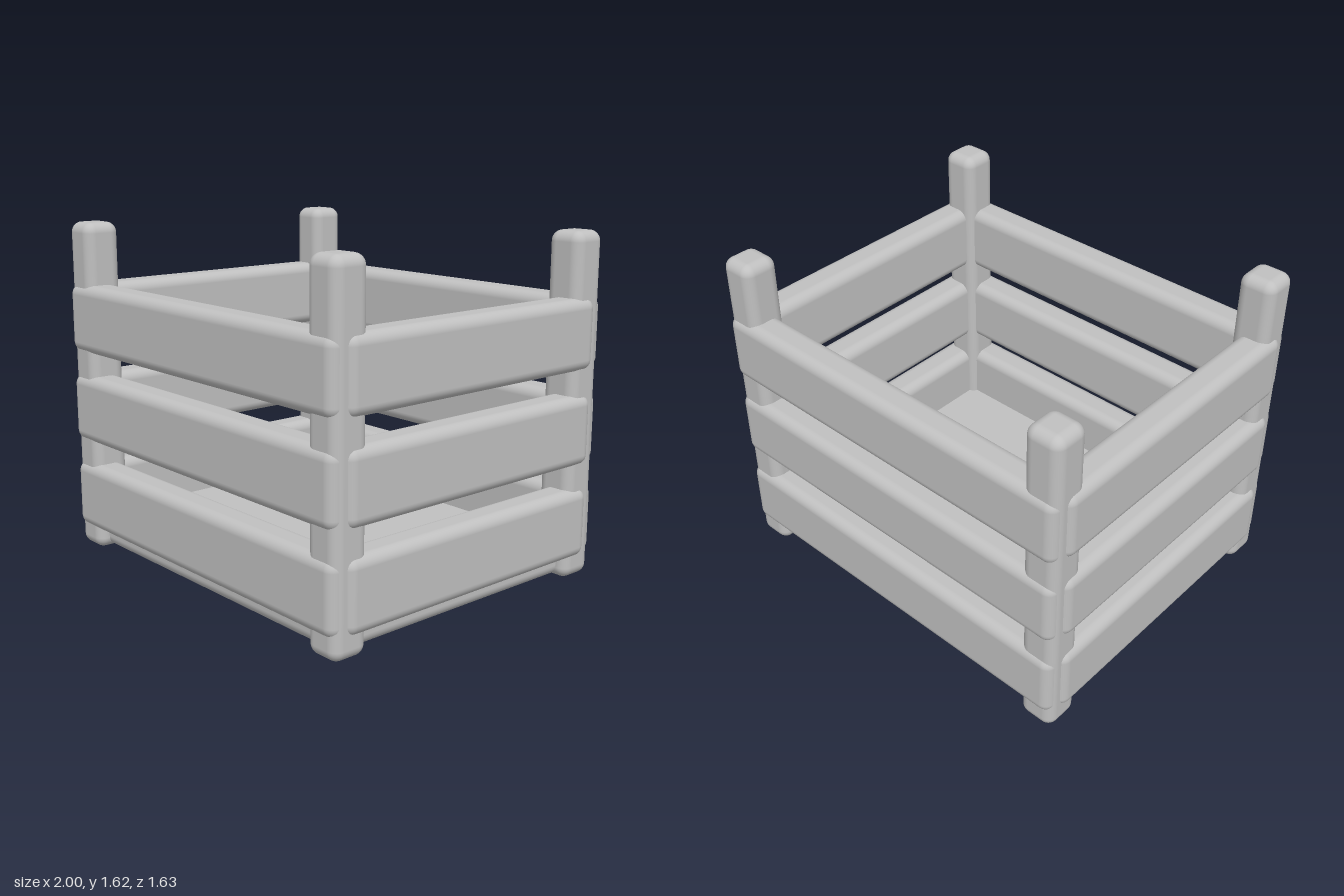
import * as THREE from 'three';
import { RoundedBoxGeometry } from 'three/addons/geometries/RoundedBoxGeometry.js';

const grey = new THREE.MeshStandardMaterial({ color: 0xc0c0c0 });
grey.name = 'plainGrey';

// Rounded bar given by its size and centre
function bar(name, w, h, d, x, y, z) {
  const mesh = new THREE.Mesh(new RoundedBoxGeometry(w, h, d, 5, 0.05), grey);
  mesh.name = name;
  mesh.position.set(x, y, z);
  return mesh;
}

export function createModel() {
  const crate = new THREE.Group();
  crate.name = 'slattedCrate';

  // Corner posts
  for (const sx of [-1, 1]) {
    for (const sz of [-1, 1]) {
      const name = (sz > 0 ? 'front' : 'back') + (sx > 0 ? 'Left' : 'Right') + 'Post';
      crate.add(bar(name, 0.18, 1.62, 0.18, sx * 0.89, 0.81, sz * 0.71));
    }
  }

  // Three rows of slats on all four sides
  [0.267, 0.711, 1.156].forEach((y, i) => {
    for (const s of [-1, 1]) {
      crate.add(bar((s > 0 ? 'front' : 'back') + 'Slat' + (i + 1), 1.95, 0.332, 0.164, 0, y, s * 0.733));
      crate.add(bar((s > 0 ? 'left' : 'right') + 'Slat' + (i + 1), 0.164, 0.332, 1.49, s * 0.918, y, 0));
    }
  });

  // Floor panel
  crate.add(bar('floor', 1.85, 0.165, 1.49, 0, 0.092, 0));
  return crate;
}
